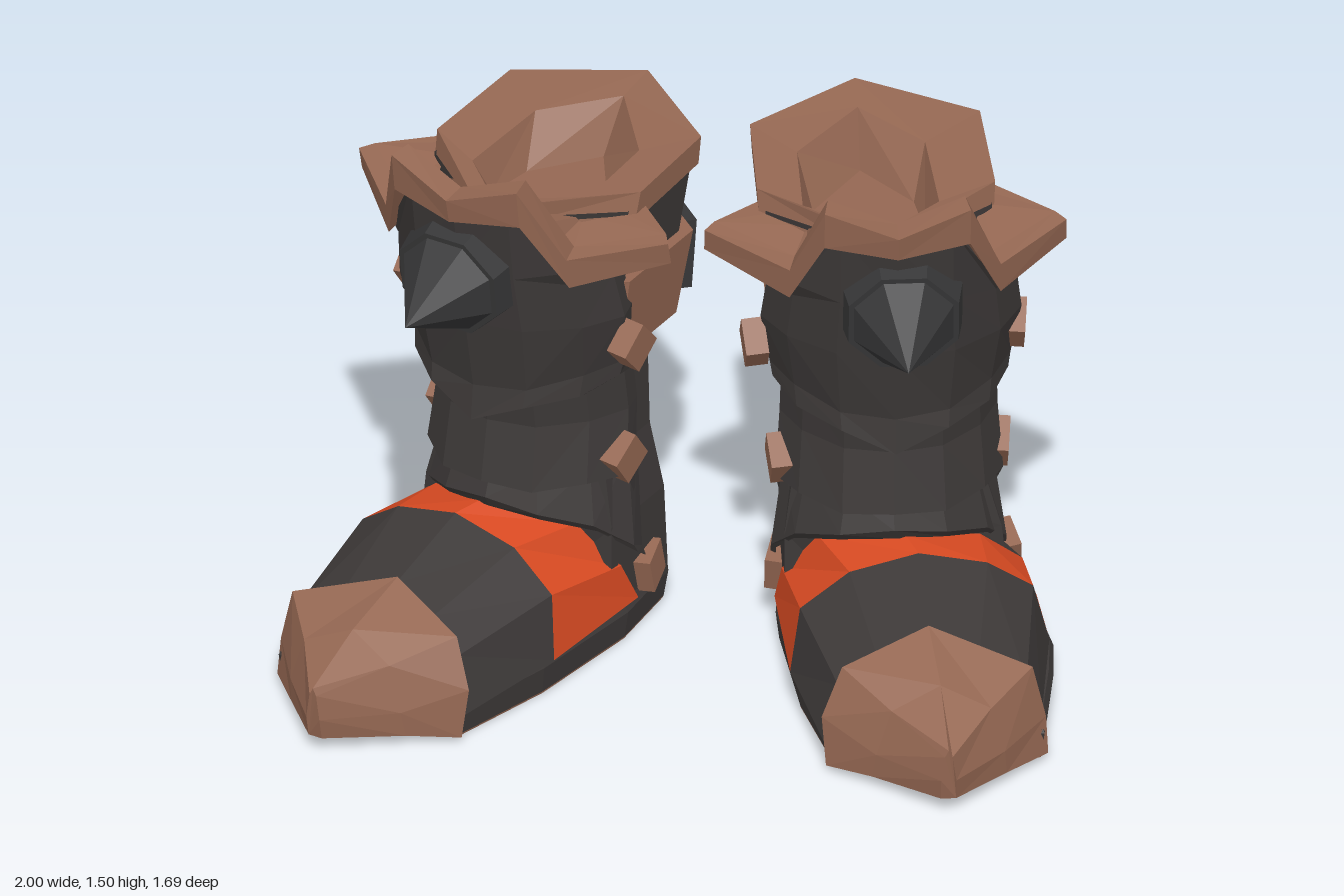
import * as THREE from 'three';

const mat = (name, color, side = THREE.FrontSide) => {
  const m = new THREE.MeshStandardMaterial({ color, side });
  m.name = name;
  return m;
};

// Faceted skin through rows of points; closed joins each row end to end, caps fill first and last rows
function loft(rows, closed = false, capFirst = false, capLast = false) {
  const v = [];
  const tri = (a, b, c) => v.push(...a, ...b, ...c);
  const n = rows[0].length;
  for (let i = 0; i < rows.length - 1; i++) {
    for (let j = 0; j < (closed ? n : n - 1); j++) {
      const k = (j + 1) % n;
      tri(rows[i][j], rows[i][k], rows[i + 1][k]);
      tri(rows[i][j], rows[i + 1][k], rows[i + 1][j]);
    }
  }
  const last = rows[rows.length - 1];
  for (let j = 1; j < n - 1; j++) {
    if (capFirst) tri(rows[0][0], rows[0][j + 1], rows[0][j]);
    if (capLast) tri(last[0], last[j], last[j + 1]);
  }
  const g = new THREE.BufferGeometry();
  g.setAttribute('position', new THREE.Float32BufferAttribute(v, 3));
  g.computeVertexNormals();
  return g;
}

// Six-sided shaft section: back, outer back, outer, front, inner, inner back; tilt lowers the front
const hex = ([y, xo, xi, zb, zf, zs = -0.03, tilt = 0]) => [
  [-0.48, zb], [xo + 0.02, zb + 0.17], [xo, zs], [-0.52, zf], [xi, zs], [xi, zb + 0.2],
].map(([x, z]) => [x, y - tilt * (z + 0.56), z]);

const CX = -0.54;
const COLS = [-0.31, -0.33, -0.27, -0.15, 0, 0.15, 0.27, 0.33, 0.31];
const BACK = [-0.34, -0.25, -0.13, -0.03, 0, -0.03, -0.13, -0.24, -0.31];
// Curved armour row around the front; ys runs from centre to side edge
const plateRow = (w, z, ys) => COLS.map((d, j) => {
  const y = Array.isArray(ys) ? ys[Math.abs(j - 4)] : ys;
  return [CX + d * w, y, z + BACK[j]];
});

function buildBoot(M) {
  const boot = new THREE.Group();
  const add = (name, geo, material, parent = boot) => {
    const m = new THREE.Mesh(geo, material);
    m.name = name;
    parent.add(m);
    return m;
  };

  // Sole
  const outline = [[-0.64, 0.62], [-0.35, 0.585], [-0.28, 0.28], [-0.245, -0.08], [-0.27, -0.32], [-0.48, -0.53],
    [-0.77, -0.39], [-0.92, -0.08], [-0.955, 0.13], [-0.945, 0.29], [-0.905, 0.58]];
  const soleRow = (y, s) => outline.map(([x, z]) => [-0.6 + (x + 0.6) * s, y, 0.1 + (z - 0.1) * s]);
  add('welt', loft([soleRow(0.006, 0.975), soleRow(0.08, 1), soleRow(0.105, 0.97)], true, false, true), M.leather);
  add('outsole', loft([soleRow(0, 0.97), soleRow(0.006, 0.975)], true, true), M.brown);

  // Vamp and orange instep band, sections running toe to heel
  const s2 = [[-0.9, 0.08, 0.58], [-0.86, 0.23, 0.56], [-0.74, 0.3, 0.52], [-0.605, 0.34, 0.49],
    [-0.47, 0.3, 0.52], [-0.37, 0.23, 0.56], [-0.33, 0.08, 0.59]];
  const s1 = [[-0.945, 0.1, 0.14], [-0.9, 0.285, 0.17], [-0.78, 0.37, 0.19], [-0.6, 0.41, 0.2],
    [-0.42, 0.36, 0.2], [-0.29, 0.27, 0.225], [-0.262, 0.1, 0.26]];
  const s0 = [[-0.925, 0.1, -0.09], [-0.885, 0.24, -0.05], [-0.77, 0.358, 0.02], [-0.57, 0.42, 0.12],
    [-0.35, 0.36, 0.01], [-0.26, 0.22, -0.07], [-0.245, 0.1, -0.13]];
  const inside = s0.map(([x, y]) => [-0.58 + (x + 0.58) * 0.85, y * 0.95, -0.15]);
  add('vamp', loft([s2, s1]), M.leather);
  add('instepBand', loft([s1, s0]), M.orange);
  add('quarter', loft([s0, inside]), M.leather);

  // Toe cap
  add('toeCap', loft([
    [[-0.66, 0.04, 0.83], [-0.66, 0.1, 0.842], [-0.65, 0.17, 0.842], [-0.64, 0.19, 0.842],
      [-0.63, 0.17, 0.842], [-0.62, 0.1, 0.842], [-0.62, 0.04, 0.83]],
    [[-0.8, 0.03, 0.69], [-0.795, 0.1, 0.7], [-0.76, 0.225, 0.69], [-0.63, 0.28, 0.66],
      [-0.5, 0.225, 0.69], [-0.46, 0.1, 0.7], [-0.45, 0.03, 0.69]],
    [[-0.915, 0.015, 0.57], [-0.91, 0.12, 0.56], [-0.875, 0.27, 0.56], [-0.61, 0.35, 0.47],
      [-0.38, 0.28, 0.55], [-0.325, 0.15, 0.58], [-0.335, 0.015, 0.6]],
  ], true, true, true), M.brown);

  // Shaft, strap and rim
  add('shaft', loft([
    [0.08, -0.86, -0.265, -0.51, 0.02], [0.35, -0.83, -0.265, -0.49, 0.08], [0.55, -0.775, -0.29, -0.46, 0.08],
    [0.85, -0.77, -0.295, -0.455, 0.1], [1.1, -0.8, -0.24, -0.52, 0.16], [1.32, -0.805, -0.215, -0.545, 0.2],
  ].map(hex), true), M.leather);
  add('strap', loft([
    [0.87, -0.77, -0.285, -0.45, 0.09], [0.87, -0.81, -0.24, -0.51, 0.1],
    [1.11, -0.835, -0.21, -0.545, 0.14], [1.11, -0.79, -0.25, -0.5, 0.12],
  ].map(hex), true), M.brown);
  add('rim', loft([
    [1.32, -0.79, -0.23, -0.53, 0.19, -0.03, 0.06], [1.32, -0.81, -0.2, -0.555, 0.2, -0.04, 0.06],
    [1.4, -0.815, -0.195, -0.56, 0.21, -0.06, 0.06],
    [1.39, -0.665, -0.31, -0.44, 0.14, 0.01, 0.06], [1.25, -0.63, -0.345, -0.34, 0.08, -0.03],
  ].map(hex), true, false, true), M.brown);

  // Armour plates on the shin, dipping to a lobe in the middle
  const lobe = [0.71, 0.77, 0.79, 0.82, 0.82];
  add('shinPlate', loft([
    plateRow(0.86, 0.14, lobe.map((y) => y - 0.02)),
    plateRow(0.93, 0.22, lobe.map((y) => y + 0.01)),
    plateRow(0.95, 0.21, [0.82, 0.83, 0.86, 0.87, 0.87]),
    plateRow(1.03, 0.25, 1.03),
    plateRow(0.98, 0.28, [1.22, 1.2, 1.17, 1.17, 1.17]),
    plateRow(0.98, 0.31, [1.39, 1.42, 1.22, 1.23, 1.24]),
  ]), M.leather);
  add('anklePlate', loft([
    plateRow(0.8, 0.12, [0.5, 0.49, 0.5, 0.5, 0.41]),
    plateRow(0.9, 0.17, [0.51, 0.5, 0.51, 0.5, 0.4]),
    plateRow(0.86, 0.14, 0.68),
    plateRow(0.85, 0.16, 0.82),
  ]), M.leather);
  add('tongue', loft([
    plateRow(0.93, 0.13, [0.415, 0.4, 0.35, 0.25, 0.2]),
    plateRow(0.93, 0.15, [0.45, 0.425, 0.375, 0.28, 0.24]),
    plateRow(0.82, 0.12, 0.53),
  ]), M.leather);

  // Crown trim, half profile: [dx, low, high, z, crest depth], then its foot on the shaft [dx, y, z]
  const half = [
    [0, 1.37, 1.44, 0.33, 0.06, 0, 1.33, 0.17],
    [0.19, 1.39, 1.5, 0.29, 0.05, 0.165, 1.33, 0.1],
    [0.275, 1.18, 1.27, 0.18, 0.05, 0.22, 1.3, 0.02],
    [0.455, 1.24, 1.305, 0.02, 0.02, 0.24, 1.31, -0.05],
    [0.28, 1.2, 1.31, -0.14, 0.01, 0.23, 1.31, -0.13],
  ];
  const full = [...half.slice(1).reverse(), ...half.map(([d, lo, hi, z, c, df, ...r]) => [-d, lo, hi, z, c, -df, ...r])];
  add('crownTrim', loft(full.map(([d, lo, hi, z, crest, df, yf, zf]) => {
    const x = CX + d * (d > 0.4 ? 1.07 : 1); // inner wing reaches further
    return [[x, lo, z], [x, hi, z + 0.015], [x - d * 0.06, hi + 0.005, z - crest], [CX + df, yf, zf]];
  }), true, true, true), M.brown);

  // Shin spike on a stepped disc
  const spike = new THREE.Group();
  spike.name = 'shinSpike';
  spike.position.set(-0.555, 1.175, 0.27);
  spike.rotation.x = Math.PI / 2 + 0.13;
  boot.add(spike);
  const turned = (rTop, rBottom, h, y) => {
    const g = new THREE.CylinderGeometry(rTop, rBottom, h, 8).toNonIndexed();
    g.rotateY(Math.PI / 8).translate(0, y, 0);
    g.computeVertexNormals();
    return g;
  };
  add('spikeDisc', turned(0.155, 0.17, 0.08, 0), M.metal, spike);
  add('spikeCone', turned(0, 0.14, 0.215, 0.1475), M.metal, spike);

  // Diamond studs: [x, y, z, side, tilt]
  [[-0.185, 0.945, 0, 1, 0.75], [-0.255, 0.555, -0.07, 1, 0.65], [-0.262, 0.16, -0.2, 1, 0.25],
    [-0.862, 0.965, -0.03, -1, 0.65], [-0.825, 0.55, -0.13, -1, 0.65], [-0.85, 0.17, -0.24, -1, 0.35]]
    .forEach(([x, y, z, s, tilt]) => {
      const stud = add('stud', new THREE.BoxGeometry(0.06, 0.1, 0.1), M.brown);
      stud.position.set(x, y, z);
      stud.rotation.set(tilt, s * (z < -0.15 ? 0.25 : -0.1), 0);
    });

  // Buckle on the inner back of the strap
  const buckle = new THREE.Group();
  buckle.name = 'buckle';
  buckle.position.set(-0.352, 0.99, -0.435);
  buckle.rotation.set(0.07, Math.atan2(0.61, -0.79), 0, 'YXZ');
  boot.add(buckle);
  const square = (S, w, h) => new S([[-w, -h], [w, -h], [w, h], [-w, h]].map(([x, y]) => new THREE.Vector2(x, y)));
  const frame = square(THREE.Shape, 0.085, 0.1);
  frame.holes.push(square(THREE.Path, 0.058, 0.072));
  add('buckleFrame', new THREE.ExtrudeGeometry(frame, { depth: 0.05, bevelEnabled: false }), M.metal, buckle);
  add('bucklePad', new THREE.BoxGeometry(0.12, 0.148, 0.04), M.brown, buckle).position.z = 0.015;
  const prong = add('buckleProng', new THREE.BoxGeometry(0.075, 0.03, 0.03), M.metal, buckle);
  prong.position.z = 0.045;
  prong.rotation.z = 0.25;
  return boot;
}

// Bake a mirrored copy, keeping faces pointing outward
function mirrored(source) {
  const out = new THREE.Group();
  const flip = new THREE.Matrix4().makeScale(-1, 1, 1);
  source.updateMatrixWorld(true);
  source.traverse((o) => {
    if (!o.isMesh) return;
    const g = o.geometry.index ? o.geometry.toNonIndexed() : o.geometry.clone();
    g.applyMatrix4(new THREE.Matrix4().multiplyMatrices(flip, o.matrixWorld));
    const a = g.attributes.position.array;
    for (let i = 0; i < a.length; i += 9) {
      for (let k = 3; k < 6; k++) [a[i + k], a[i + k + 3]] = [a[i + k + 3], a[i + k]];
    }
    g.computeVertexNormals();
    const m = new THREE.Mesh(g, o.material);
    m.name = o.name;
    out.add(m);
  });
  return out;
}

export function createModel() {
  const M = {
    leather: mat('dark leather', 0x3d3938, THREE.DoubleSide),
    metal: mat('dark metal', 0x363637),
    brown: mat('brown leather', 0x946752, THREE.DoubleSide),
    orange: mat('orange leather', 0xd84a22, THREE.DoubleSide),
  };
  const model = new THREE.Group();
  const right = buildBoot(M);
  right.name = 'rightBoot';
  const left = mirrored(right);
  left.name = 'leftBoot';
  left.rotation.y = THREE.MathUtils.degToRad(35);
  left.position.set(-0.073, 0, -0.073);
  model.add(right, left);
  return model;
}
